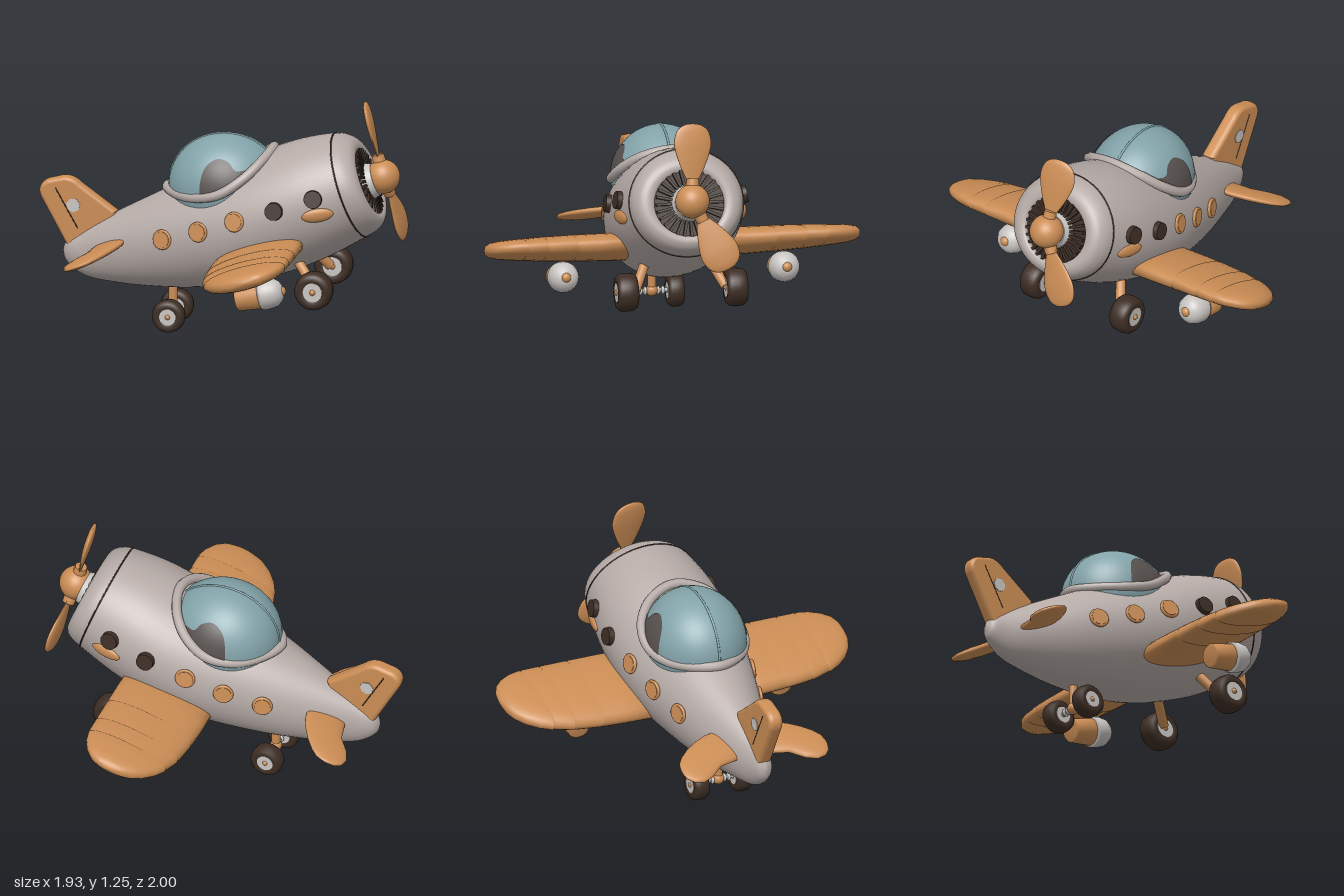
import * as THREE from 'three';

const V = (x, y, z = 0) => new THREE.Vector3(x, y, z);
const mat = (name, color, side = THREE.FrontSide) => {
  const m = new THREE.MeshStandardMaterial({ color, side });
  m.name = name;
  return m;
};

// Skin through rings of equal length, both ends closed, faces turned outwards
function loft(rings) {
  const mid = r => r.reduce((a, p) => a.add(p), V(0, 0)).divideScalar(r.length);
  const all = [rings[0].map(() => mid(rings[0])), ...rings, rings[0].map(() => mid(rings.at(-1)))];
  const n = rings[0].length, pts = all.flat(), idx = [];
  for (let i = 0; i < all.length - 1; i++) for (let j = 0; j < n; j++) {
    const a = i * n + j, b = i * n + (j + 1) % n;
    idx.push(a, b, a + n, b, b + n, a + n);
  }
  let volume = 0;
  for (let i = 0; i < idx.length; i += 3) {
    volume += pts[idx[i]].dot(V(0, 0).crossVectors(pts[idx[i + 1]], pts[idx[i + 2]]));
  }
  if (volume < 0) idx.reverse();
  const g = new THREE.BufferGeometry().setFromPoints(pts);
  g.setIndex(idx);
  g.computeVertexNormals();
  return g;
}

// Fuselage stations: top x, top y, bottom x, bottom y, half width
const stations = [
  [-0.845, 0.42, -0.85, 0.39, 0.008], [-0.82, 0.465, -0.835, 0.34, 0.04],
  [-0.74, 0.515, -0.74, 0.265, 0.075], [-0.58, 0.605, -0.55, 0.232, 0.14],
  [-0.38, 0.71, -0.33, 0.222, 0.215], [-0.2, 0.8, -0.12, 0.23, 0.27],
  [0, 0.88, 0.1, 0.26, 0.32], [0.2, 0.965, 0.33, 0.325, 0.347],
  [0.4, 1.04, 0.56, 0.42, 0.342], [0.59, 1.08, 0.78, 0.545, 0.305],
  [0.64, 1.077, 0.825, 0.575, 0.292], [0.69, 1.055, 0.855, 0.61, 0.265],
  [0.715, 1.02, 0.862, 0.645, 0.225], [0.71, 0.99, 0.845, 0.67, 0.19],
  [0.66, 0.98, 0.79, 0.65, 0.185],
];
const SEAM = 9 / 14;
const topLine = new THREE.CatmullRomCurve3(stations.map(s => V(s[0], s[1], s[4])));
const lowLine = new THREE.CatmullRomCurve3(stations.map(s => V(s[2], s[3])));
function hull(s, a) {
  const t = topLine.getPoint(s), b = lowLine.getPoint(s), k = (1 + Math.cos(a)) / 2;
  return V(b.x + (t.x - b.x) * k, b.y + (t.y - b.y) * k, t.z * Math.sin(a));
}
const hullRing = (s, n = 48) => Array.from({ length: n }, (_, j) => hull(s, j / n * Math.PI * 2));

// Point and outward direction on the hull side at a given x, y
function skin(x, y) {
  let best = 1e9, hit;
  for (let i = 5; i < 90; i++) for (let j = 1; j < 60; j++) {
    const s = i / 100, a = j / 60 * Math.PI, p = hull(s, a), d = Math.hypot(p.x - x, p.y - y);
    if (d < best) { best = d; hit = [s, a, p]; }
  }
  const [s, a, p] = hit;
  const n = hull(s + 0.01, a).sub(p).cross(hull(s, a + 0.02).sub(p)).normalize();
  if (n.z < 0) n.negate();
  return { p: V(x, y, p.z), n };
}

// Wing-like panel; rows: z, rear x, front x, thickness; heightAt gives its mid line
function panel(rows, side, heightAt) {
  return loft(rows.map(([z, x0, x1, t]) => Array.from({ length: 32 }, (_, j) => {
    const a = j / 32 * Math.PI * 2, s = Math.sin(a);
    const x = (x0 + x1) / 2 + (x1 - x0) / 2 * Math.cos(a);
    return V(x, heightAt(x, z) + t / 2 * Math.sign(s) * Math.abs(s) ** 0.8, z * side);
  })));
}

export function createModel() {
  const root = new THREE.Group();
  root.name = 'airplane';
  const grey = mat('body grey', 0xb5aaa6), orange = mat('orange', 0xcb8d55), teal = mat('canopy teal', 0x82a3a9);
  const dark = mat('dark brown', 0x3d2d24), white = mat('off white', 0xc8c4c1);
  const shade = mat('canopy shadow grey', 0x57504e, THREE.DoubleSide);
  const add = (name, geo, m, parent = root) => {
    const o = new THREE.Mesh(geo, m);
    o.name = name;
    parent.add(o);
    return o;
  };
  const tube = (pts, r, closed = false, n = 64) =>
    new THREE.TubeGeometry(new THREE.CatmullRomCurve3(pts, closed), n, r, 10, closed);

  // Fuselage with rolled cowl lip
  add('fuselage', loft(Array.from({ length: 113 }, (_, i) => hullRing(i / 112))), grey);
  add('cowlSeam', tube(hullRing(SEAM), 0.004, true, 96), dark);

  // Canopy, its ridge, frame and side patches
  const C = V(0.02, 0.78), R = V(0.305, 0.282, 0.268);
  const dome = new THREE.SphereGeometry(1, 48, 28, 0, Math.PI * 2, 0, Math.PI * 0.6);
  add('canopy', dome.scale(R.x, R.y, R.z).translate(C.x, C.y, 0), teal);
  add('canopyRidge', tube(Array.from({ length: 17 }, (_, i) => {
    const a = i / 16 * Math.PI;
    return V(C.x - R.x * Math.cos(a), C.y + R.y * Math.sin(a));
  }), 0.006), teal);
  const half = [[-0.22, 0.757, 0.14], [-0.1, 0.762, 0.235], [0.03, 0.795, 0.272], [0.15, 0.875, 0.245], [0.235, 0.955, 0.15]];
  add('canopyFrame', tube([V(-0.295, 0.765), ...half.map(p => V(...p)), V(0.27, 0.995),
    ...half.toReversed().map(([x, y, z]) => V(x, y, -z))], 0.026, true, 96), grey);
  const blob = new THREE.CatmullRomCurve3([[-0.075, 0.85], [-0.05, 0.93], [0.01, 0.97], [0.07, 0.955], [0.11, 0.915],
    [0.165, 0.915], [0.19, 0.9], [0.12, 0.83], [0, 0.77], [-0.07, 0.78]].map(p => V(...p)), true);

  const shaft = (name, a, b, r, m) => {
    const o = add(name, new THREE.CylinderGeometry(r, r, a.distanceTo(b), 16), m);
    o.position.copy(a).lerp(b, 0.5);
    o.quaternion.setFromUnitVectors(V(0, 1), b.clone().sub(a).normalize());
  };

  // Wheel with rounded tyre, hub and orange centre
  function wheel(name, x, y, z, r, w) {
    const g = new THREE.Group();
    g.name = name;
    g.position.set(x, y, z);
    g.rotation.x = Math.PI / 2;
    root.add(g);
    const tyre = [[0.45, -0.85], [0.6, -1], [0.82, -0.95], [0.96, -0.65], [1, 0], [0.96, 0.65], [0.82, 0.95], [0.6, 1], [0.45, 0.85]];
    add('tyre', new THREE.LatheGeometry(tyre.map(([a, b]) => new THREE.Vector2(a * r, b * w)), 32), dark, g);
    add('hub', new THREE.CylinderGeometry(r * 0.5, r * 0.5, w * 1.9, 24), white, g);
    add('hubCap', new THREE.SphereGeometry(r * 0.28, 16, 12).scale(1, w * 1.15 / (r * 0.28), 1), orange, g);
  }

  // Tail fin with rudder line
  const fin = new THREE.Shape();
  fin.moveTo(-0.8, 0.42);
  fin.lineTo(-0.6, 0.55);
  fin.lineTo(-0.585, 0.61);
  fin.lineTo(-0.77, 0.745);
  fin.quadraticCurveTo(-0.81, 0.785, -0.86, 0.77);
  fin.lineTo(-0.92, 0.755);
  fin.quadraticCurveTo(-0.965, 0.735, -0.945, 0.69);
  fin.closePath();
  add('tailFin', new THREE.ExtrudeGeometry(fin, {
    depth: 0.024, bevelThickness: 0.028, bevelSize: 0.022, bevelSegments: 5, curveSegments: 10,
  }).translate(0, 0, -0.012), orange);

  // Wing rows, with shallow grooves between panels
  const wingRows = [[0.2, 0, 0.48, 0.155], [0.4, 0, 0.48, 0.15]];
  for (const [z, x0, t] of [[0.53, 0.004, 0.145], [0.69, 0.018, 0.133], [0.8, 0.045, 0.12]]) {
    wingRows.push([z - 0.008, x0, 0.48, t], [z, x0 + 0.004, 0.476, t - 0.012], [z + 0.008, x0 + 0.001, 0.48, t]);
  }
  wingRows.push([0.87, 0.075, 0.468, 0.11], [0.93, 0.12, 0.44, 0.098], [0.97, 0.17, 0.405, 0.08],
    [0.99, 0.215, 0.37, 0.055], [1, 0.27, 0.32, 0.02]);
  const tailRows = [[0.05, -0.68, -0.48, 0.06], [0.2, -0.71, -0.505, 0.055], [0.27, -0.765, -0.535, 0.055],
    [0.33, -0.788, -0.57, 0.05], [0.38, -0.778, -0.61, 0.04], [0.41, -0.75, -0.645, 0.025], [0.42, -0.715, -0.68, 0.01]];

  for (const s of [1, -1]) {
    const side = s > 0 ? 'Right' : 'Left';
    add('wing' + side, panel(wingRows, s, (x, z) => 0.402 + x * 0.29 + z * 0.015), orange);
    add('tailplane' + side, panel(tailRows, s, x => 0.372 + (x + 0.79) * 0.39), orange);

    // Canopy patch follows the dome
    const patch = new THREE.RingGeometry(0.001, 1, 60, 8), pos = patch.attributes.position;
    for (let i = 0; i < pos.count; i++) {
      const k = Math.floor(i / 61) / 8, p = blob.getPoint((i % 61) / 60);
      const x = 0.03 + (p.x - 0.03) * k, y = 0.86 + (p.y - 0.86) * k;
      const q = 1 - ((x - C.x) / R.x) ** 2 - ((y - C.y) / R.y) ** 2;
      pos.setXYZ(i, x, y, s * (R.z * Math.sqrt(Math.max(q, 0)) + 0.005));
    }
    patch.computeVertexNormals();
    add('canopyPatch' + side, patch, shade);

    // Portholes, dark ports and the cheek slot
    const fit = (name, x, y) => {
      const { p, n } = skin(x, y), g = new THREE.Group();
      g.name = name + side;
      g.position.set(p.x, p.y, p.z * s);
      g.lookAt(p.x + n.x, p.y + n.y, (p.z + n.z) * s);
      root.add(g);
      return g;
    };
    const disc = (r, h) => new THREE.CylinderGeometry(r * 0.92, r, h, 28).rotateX(Math.PI / 2);
    for (const [x, y] of [[-0.28, 0.53], [-0.08, 0.592], [0.12, 0.665]]) {
      const g = fit('porthole', x, y);
      add('pane', disc(0.046, 0.02), orange, g);
      add('ring', new THREE.TorusGeometry(0.045, 0.009, 8, 32), orange, g);
    }
    for (const [x, y] of [[0.335, 0.735], [0.54, 0.805]]) add('port', disc(0.05, 0.045), dark, fit('darkPort', x, y));
    const slot = add('slot', new THREE.SphereGeometry(1, 28, 16).scale(0.085, 0.037, 0.02), orange, fit('cheekSlot', 0.565, 0.72));
    slot.rotation.z = 0.15 * s;

    // Fin spot and rudder line
    const spot = add('finSpot' + side, new THREE.CylinderGeometry(0.038, 0.038, 0.006, 7), white);
    spot.rotation.x = Math.PI / 2;
    spot.position.set(-0.79, 0.645, 0.041 * s);
    shaft('rudderLine' + side, V(-0.885, 0.735, 0.039 * s), V(-0.765, 0.52, 0.039 * s), 0.003, dark);

    // Pod under the wing
    const pod = new THREE.Group();
    pod.name = 'pod' + side;
    pod.position.set(0.18, 0.315, 0.59 * s);
    pod.rotation.z = 0.22 - Math.PI / 2;
    root.add(pod);
    const turn = pts => new THREE.LatheGeometry(pts.map(p => new THREE.Vector2(...p)), 32);
    add('podBody', turn([[0, 0], [0.055, 0], [0.064, 0.01], [0.074, 0.15], [0, 0.15]]), orange, pod);
    add('podNose', turn([[0, 0.13], [0.078, 0.13], [0.082, 0.145], [0.081, 0.18], [0.073, 0.215], [0.055, 0.24], [0.03, 0.254], [0, 0.258]]), white, pod);
    add('podTip', new THREE.SphereGeometry(0.028, 16, 12), orange, pod).position.y = 0.243;

    // Landing gear
    wheel('mainWheel' + side, 0.54, 0.305, 0.292 * s, 0.102, 0.056);
    shaft('mainStrut' + side, V(0.53, 0.31, 0.24 * s), V(0.4, 0.47, 0.15 * s), 0.026, orange);
    wheel('tailWheel' + side, -0.265, 0.092, 0.124 * s, 0.088, 0.043);
    for (const z of [0.035, 0.06]) {
      add('axleBead' + side, new THREE.SphereGeometry(0.022, 14, 10).scale(1, 1, 0.5), white).position.set(-0.265, 0.095, z * s);
    }
  }
  shaft('tailStrut', V(-0.265, 0.1, 0), V(-0.265, 0.28, 0), 0.023, orange);
  add('axleKnuckle', new THREE.SphereGeometry(0.032, 16, 12), orange).position.set(-0.265, 0.097, 0);
  shaft('tailAxle', V(-0.265, 0.095, -0.1), V(-0.265, 0.095, 0.1), 0.013, white);

  // Engine face inside the cowl
  const engine = new THREE.Group();
  engine.name = 'engine';
  engine.position.set(0.755, 0.826, 0);
  engine.rotation.z = 0.34;
  root.add(engine);
  add('engineFace', new THREE.CylinderGeometry(0.187, 0.187, 0.02, 40).rotateZ(Math.PI / 2), dark, engine);
  for (let i = 0; i < 28; i++) {
    const a = i / 28 * Math.PI * 2;
    const fin = add('engineFin', new THREE.BoxGeometry(0.03, 0.085, 0.014), dark, engine);
    fin.position.set(0.02, Math.cos(a) * 0.138, Math.sin(a) * 0.138);
    fin.rotation.x = a;
  }
  add('engineHub', new THREE.CylinderGeometry(0.085, 0.105, 0.06, 32).rotateZ(-Math.PI / 2), white, engine).position.x = 0.035;

  // Propeller
  const prop = new THREE.Group();
  prop.name = 'propeller';
  prop.position.set(0.855, 0.864, 0);
  prop.rotation.z = 0.25;
  root.add(prop);
  add('spinner', new THREE.SphereGeometry(0.09, 32, 24), orange, prop);
  const outline = new THREE.SplineCurve([[0.03, 0.05], [0.034, 0.11], [0.062, 0.17], [0.092, 0.25], [0.102, 0.31],
    [0.085, 0.37], [0.045, 0.4], [0, 0.407]].map(p => new THREE.Vector2(...p))).getPoints(28);
  outline.forEach(p => { p.x = Math.max(p.x, 0); });
  for (const a of [-0.05, Math.PI + 0.45]) {
    const blade = add('blade', new THREE.LatheGeometry(outline, 32).scale(0.2, 1, 1).rotateY(0.12), orange, prop);
    blade.rotation.x = a;
    const collar = add('bladeCollar', new THREE.CylinderGeometry(0.032, 0.036, 0.05, 20), orange, prop);
    collar.position.set(0, Math.cos(a) * 0.095, Math.sin(a) * 0.095);
    collar.rotation.x = a;
  }
  return root;
}
